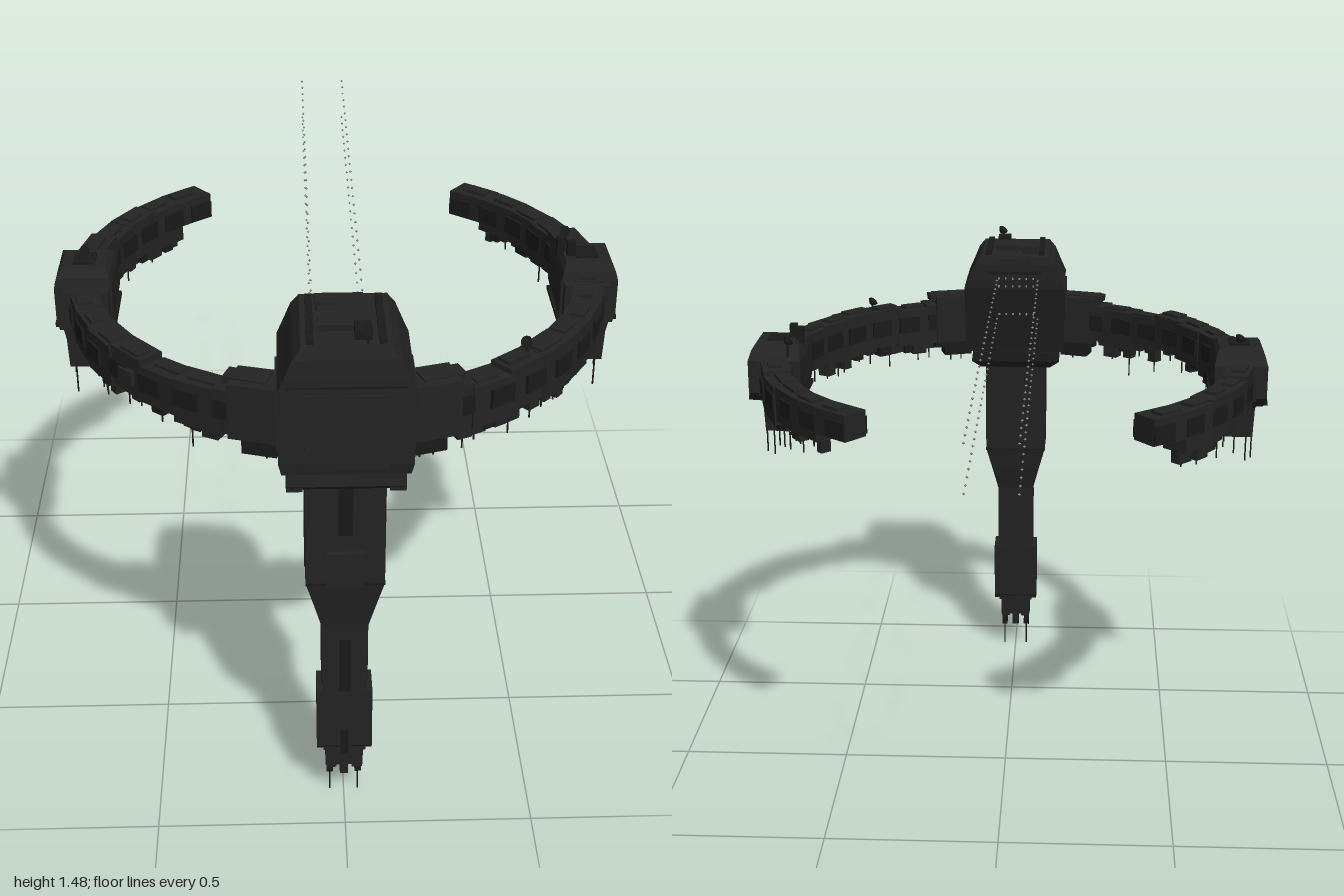
import * as THREE from 'three';

const hull = new THREE.MeshStandardMaterial({ name: 'dark hull', color: 0x232323, flatShading: true });
const trim = new THREE.MeshStandardMaterial({ name: 'darker trim', color: 0x1a1a1a, flatShading: true });
const lamp = new THREE.MeshStandardMaterial({ name: 'pale lamp', color: 0x8a8a8a });

// Seeded numbers for small surface machinery
function seeded(seed) {
  return () => {
    seed = (seed * 16807) % 2147483647;
    return seed / 2147483647;
  };
}

function box(parent, name, w, h, d, x, y, z, mat = hull, ry = 0) {
  const mesh = new THREE.Mesh(new THREE.BoxGeometry(w, h, d), mat);
  mesh.position.set(x, y, z);
  mesh.rotation.y = ry;
  mesh.name = name;
  parent.add(mesh);
  return mesh;
}

// Rectangular loft: each level is [y, halfWidth, zFront, zBack], bottom to top
function loft(parent, name, levels, x = 0, mat = hull) {
  const pos = [];
  const ring = ([y, w, f, b]) => [[-w, y, f], [w, y, f], [w, y, b], [-w, y, b]];
  const quad = (a, b, c, d) => pos.push(...a, ...b, ...c, ...a, ...c, ...d);
  const rings = levels.map(ring);
  for (let i = 0; i + 1 < rings.length; i++) {
    for (let k = 0; k < 4; k++) {
      const n = (k + 1) % 4;
      quad(rings[i][k], rings[i][n], rings[i + 1][n], rings[i + 1][k]);
    }
  }
  const [lo, hi] = [rings[0], rings[rings.length - 1]];
  quad(lo[3], lo[2], lo[1], lo[0]);
  quad(hi[0], hi[1], hi[2], hi[3]);
  const geo = new THREE.BufferGeometry();
  geo.setAttribute('position', new THREE.Float32BufferAttribute(pos, 3));
  geo.computeVertexNormals();
  const mesh = new THREE.Mesh(geo, mat);
  mesh.position.x = x;
  mesh.name = name;
  parent.add(mesh);
}

function spike(parent, x, top, z, length) {
  box(parent, 'antenna', 0.004, length, 0.004, x, top - length / 2, z, trim);
}

// Little tilted dish on a mast
function dish(parent, x, y, z, size = 0.016) {
  box(parent, 'dishMast', 0.006, 0.05, 0.006, x, y - 0.02, z, trim);
  const mesh = new THREE.Mesh(new THREE.CylinderGeometry(size, size * 0.5, 0.012, 10), trim);
  mesh.position.set(x, y, z);
  mesh.rotation.set(0.9, 0, 0.5);
  mesh.name = 'dish';
  parent.add(mesh);
}

function buildHead() {
  const g = new THREE.Group();
  g.name = 'head';
  loft(g, 'headShell', [
    [1.1, 0.155, 0.985, 0.775], [1.13, 0.162, 0.99, 0.765], [1.33, 0.162, 0.99, 0.695],
    [1.36, 0.148, 0.99, 0.69], [1.41, 0.127, 0.985, 0.69], [1.435, 0.107, 0.975, 0.695],
  ]);
  loft(g, 'headCollar', [[1.04, 0.115, 0.955, 0.8], [1.065, 0.145, 0.985, 0.78], [1.1, 0.14, 0.98, 0.77]]);
  // Front panels and top fittings
  box(g, 'facePanel', 0.2, 0.2, 0.008, 0, 1.22, 0.991);
  box(g, 'browSeam', 0.28, 0.005, 0.006, 0, 1.34, 0.99, trim);
  for (const s of [-1, 1]) {
    box(g, 'sidePanel', 0.008, 0.17, 0.16, s * 0.163, 1.23, 0.87);
    box(g, 'footLug', 0.04, 0.05, 0.04, s * 0.125, 1.07, 0.955);
    box(g, 'roofRail', 0.018, 0.012, 0.24, s * 0.085, 1.44, 0.835, trim);
  }
  box(g, 'roofPlate', 0.13, 0.018, 0.1, 0, 1.442, 0.84);
  box(g, 'roofBox', 0.05, 0.024, 0.05, -0.045, 1.445, 0.76);
  box(g, 'roofBox', 0.04, 0.03, 0.05, 0.04, 1.445, 0.91, trim);
  box(g, 'rearCowl', 0.1, 0.05, 0.04, 0, 1.405, 0.70);
  dish(g, 0.05, 1.467, 0.95);
  // Docking bay on the back
  box(g, 'bayFrame', 0.17, 0.008, 0.03, 0, 1.385, 0.69, trim);
  for (let i = 0; i < 6; i++) {
    for (const y of [1.34, 1.365]) box(g, 'bayLamp', 0.005, 0.005, 0.008, -0.06 + i * 0.022, y, 0.687, lamp);
    box(g, 'bayLamp', 0.005, 0.005, 0.008, -0.06 + i * 0.022, 1.24, 0.722, lamp);
  }
  return g;
}

function buildStem() {
  const g = new THREE.Group();
  g.name = 'stem';
  loft(g, 'stemShaft', [
    [0.18, 0.056, 0.915, 0.835], [0.6, 0.06, 0.92, 0.835], [0.68, 0.08, 0.935, 0.815],
    [0.75, 0.099, 0.945, 0.803], [1.06, 0.099, 0.95, 0.803],
  ]);
  loft(g, 'lowerSleeve', [[0.185, 0.073, 0.91, 0.84], [0.2, 0.073, 0.92, 0.832], [0.385, 0.073, 0.92, 0.832]]);
  box(g, 'frontHatch', 0.092, 0.1, 0.016, 0, 0.8, 0.953);
  box(g, 'frontGroove', 0.036, 0.15, 0.006, 0, 0.975, 0.95, trim);
  box(g, 'lowerGroove', 0.03, 0.17, 0.006, 0, 0.47, 0.918, trim);
  box(g, 'neckSeam', 0.2, 0.006, 0.15, 0, 0.75, 0.874, trim);
  for (const s of [-1, 1]) {
    box(g, 'sideRib', 0.006, 0.26, 0.05, s * 0.099, 0.9, 0.87, trim);
    box(g, 'shaftRib', 0.006, 0.18, 0.03, s * 0.058, 0.49, 0.88, trim);
    box(g, 'tipBlock', 0.028, 0.08, 0.05, s * 0.034, 0.15, 0.878);
    box(g, 'tipProng', 0.018, 0.06, 0.024, s * 0.038, 0.105, 0.87, trim);
    spike(g, s * 0.038, 0.08, 0.865, 0.08);
  }
  box(g, 'tipCore', 0.1, 0.07, 0.06, 0, 0.155, 0.875);
  box(g, 'tipCentre', 0.022, 0.18, 0.03, 0, 0.165, 0.875);
  box(g, 'tipHatch', 0.022, 0.08, 0.008, 0, 0.215, 0.922, trim);
  return g;
}

const RADIUS = 0.685, CENTRE_Z = 0.18, DEG = Math.PI / 180;

function buildArm(s) {
  const g = new THREE.Group();
  g.name = s > 0 ? 'leftArm' : 'rightArm';
  const rnd = seeded(s > 0 ? 71 : 1913);
  // Place a box on the arc: angle from the front, radial offset
  const onArc = (name, deg, off, y, len, h, depth, mat) => {
    const a = deg * DEG, r = RADIUS + off;
    return box(g, name, len, h, depth, s * r * Math.sin(a), y, CENTRE_Z + r * Math.cos(a), mat, s * a);
  };
  for (let i = 0; i < 15; i++) {
    const deg = 12 + i * 9.2;
    const top = i > 12 ? 1.245 : 1.24 + rnd() * 0.02;
    const bottom = i > 13 ? 1.17 : 1.125 + rnd() * 0.03;
    const depth = 0.07 + rnd() * 0.012;
    onArc('armSegment', deg, 0, (top + bottom) / 2, 0.122, top - bottom, depth);
    onArc('armPlate', deg + 2, 0, 1.2, 0.07, 0.05, depth + 0.014, trim);
    onArc('armRoof', deg - 1, (rnd() - 0.5) * 0.02, top, 0.05 + rnd() * 0.04, 0.016, 0.04);
    if (i > 13) continue;
    // Hanging machinery and antennas
    for (let k = 0; k < 3; k++) {
      const d = deg + (k - 1) * 3 + rnd();
      const off = (rnd() - 0.5) * 0.035;
      const drop = 0.02 + rnd() * 0.03;
      onArc('underBlock', d, off, bottom - drop / 2 + 0.01, 0.02 + rnd() * 0.03, drop, 0.025 + rnd() * 0.015, k % 2 ? trim : hull);
      if (k !== 1) {
        const a = d * DEG;
        spike(g, s * (RADIUS + off) * Math.sin(a), bottom, CENTRE_Z + (RADIUS + off) * Math.cos(a), 0.03 + rnd() * 0.065);
      }
    }
  }
  onArc('armRoot', 16, 0, 1.205, 0.17, 0.15, 0.1);
  onArc('armRootCap', 20, 0, 1.275, 0.11, 0.02, 0.05);
  onArc('armRootKeel', 17, 0, 1.11, 0.09, 0.06, 0.06, trim);
  return g;
}

function buildPod(s) {
  const g = new THREE.Group();
  g.name = s > 0 ? 'leftPod' : 'rightPod';
  const x = s * 0.68;
  loft(g, 'podShell', [
    [1.13, 0.07, 0.285, 0.09], [1.16, 0.077, 0.285, 0.065], [1.255, 0.077, 0.285, 0.07],
    [1.28, 0.07, 0.28, 0.1], [1.295, 0.06, 0.25, 0.13],
  ], x);
  loft(g, 'podKeel', [[1.01, 0.052, 0.275, 0.17], [1.1, 0.055, 0.28, 0.165], [1.14, 0.062, 0.285, 0.13]], x);
  box(g, 'podFront', 0.12, 0.11, 0.04, s * 0.67, 1.2, 0.295);
  box(g, 'podBack', 0.1, 0.09, 0.03, s * 0.675, 1.2, 0.065);
  box(g, 'podBelt', 0.164, 0.012, 0.19, x, 1.14, 0.18, trim);
  box(g, 'podSidePanel', 0.008, 0.07, 0.12, s * 0.757, 1.21, 0.18, trim);
  box(g, 'podRoofPanel', 0.06, 0.008, 0.07, x, 1.296, 0.19, trim);
  for (const [dx, z, len] of [[-0.045, 0.26, 0.1], [0.04, 0.24, 0.1], [0, 0.19, 0.06], [0.05, 0.18, 0.07], [-0.03, 0.22, 0.05]]) {
    spike(g, x + s * dx, 1.012, z, len);
  }
  return g;
}

// Four rows of guide lights trailing behind the head
function buildGuideLights() {
  const g = new THREE.Group();
  g.name = 'guideLights';
  const geo = new THREE.OctahedronGeometry(0.004);
  for (const x of [-0.075, 0.055]) for (const y of [1.24, 1.365]) {
    for (let i = 0; i < 29; i++) {
      const mesh = new THREE.Mesh(geo, lamp);
      mesh.position.set(x, y, -0.996 + i * 0.059);
      mesh.name = 'guideLight';
      g.add(mesh);
    }
  }
  return g;
}

export function createModel() {
  const model = new THREE.Group();
  model.name = 'orbitalStation';
  model.add(buildHead(), buildStem(), buildGuideLights());
  for (const s of [-1, 1]) model.add(buildArm(s), buildPod(s));
  // Rooftop equipment that differs between the sides
  box(model, 'roofTower', 0.022, 0.05, 0.022, 0.615, 1.31, 0.17, trim);
  box(model, 'roofTower', 0.022, 0.05, 0.022, 0.638, 1.31, 0.2, trim);
  dish(model, 0.64, 1.31, 0.085);
  dish(model, 0.46, 1.285, 0.68);
  dish(model, -0.68, 1.31, 0.17);
  box(model, 'outriggerBox', 0.05, 0.04, 0.04, -0.53, 1.2, 0.66, hull, -0.8);
  return model;
}
